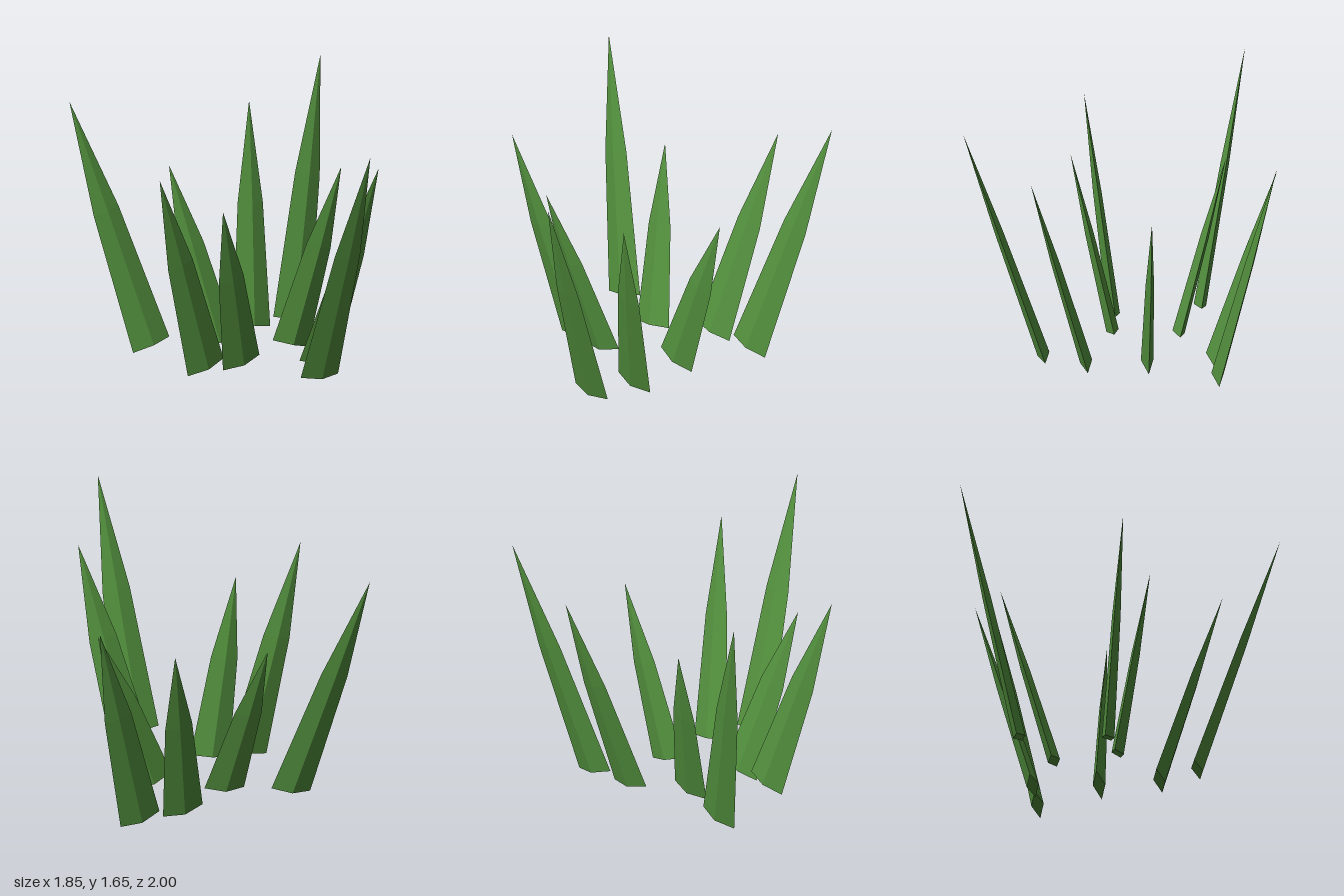
import * as THREE from 'three';

const BASE_Y = 0.045;
const HALF_WIDTH = 0.136;
const HALF_DEPTH = 0.04;

// Each blade: base x, base z, tip x, tip y, tip z
const BLADES = [
  [-0.51, -0.585, -0.928, 1.655, -0.91],
  [-0.12, -0.415, -0.298, 1.175, -0.735],
  [0.23, -0.6, 0.43, 1.415, -1.0],
  [0.525, -0.61, 0.925, 1.655, -0.955],
  [0.282, -0.18, 0.652, 1.175, -0.18],
  [-0.42, -0.025, -0.84, 1.415, 0.13],
  [-0.177, 0.003, -0.445, 1.175, 0.25],
  [0.268, 0.21, 0.505, 1.415, 0.585],
  [0.135, 0.472, 0.22, 1.655, 0.995],
];

// Four-sided blade of unit height: closed base, slight taper, then a sharp tip
function bladeGeometry() {
  const profile = [[0, 0], [1, 0], [0.68, 0.55], [0, 1]].map(([r, y]) => new THREE.Vector2(r, y));
  const geometry = new THREE.LatheGeometry(profile, 4);
  geometry.scale(HALF_WIDTH, 1, HALF_DEPTH);
  return geometry;
}

export function createModel() {
  const group = new THREE.Group();
  group.name = 'grassTuft';
  const leafGreen = new THREE.MeshStandardMaterial({ color: 0x528f3d });
  leafGreen.name = 'leafGreen';

  BLADES.forEach(([bx, bz, tx, ty, tz], i) => {
    const base = new THREE.Vector3(bx, BASE_Y, bz);
    const axis = new THREE.Vector3(tx, ty, tz).sub(base);
    const length = axis.length();
    axis.normalize();
    // The broad side always faces front or back
    const across = new THREE.Vector3(axis.y, -axis.x, 0).normalize();
    const depth = new THREE.Vector3().crossVectors(across, axis);

    const frame = new THREE.Matrix4().makeBasis(across, axis, depth).setPosition(base);
    const geometry = bladeGeometry().scale(1, length, 1).applyMatrix4(frame).toNonIndexed();
    geometry.computeVertexNormals(); // faceted

    const blade = new THREE.Mesh(geometry, leafGreen);
    blade.name = `blade${i + 1}`;
    group.add(blade);
  });
  return group;
}
